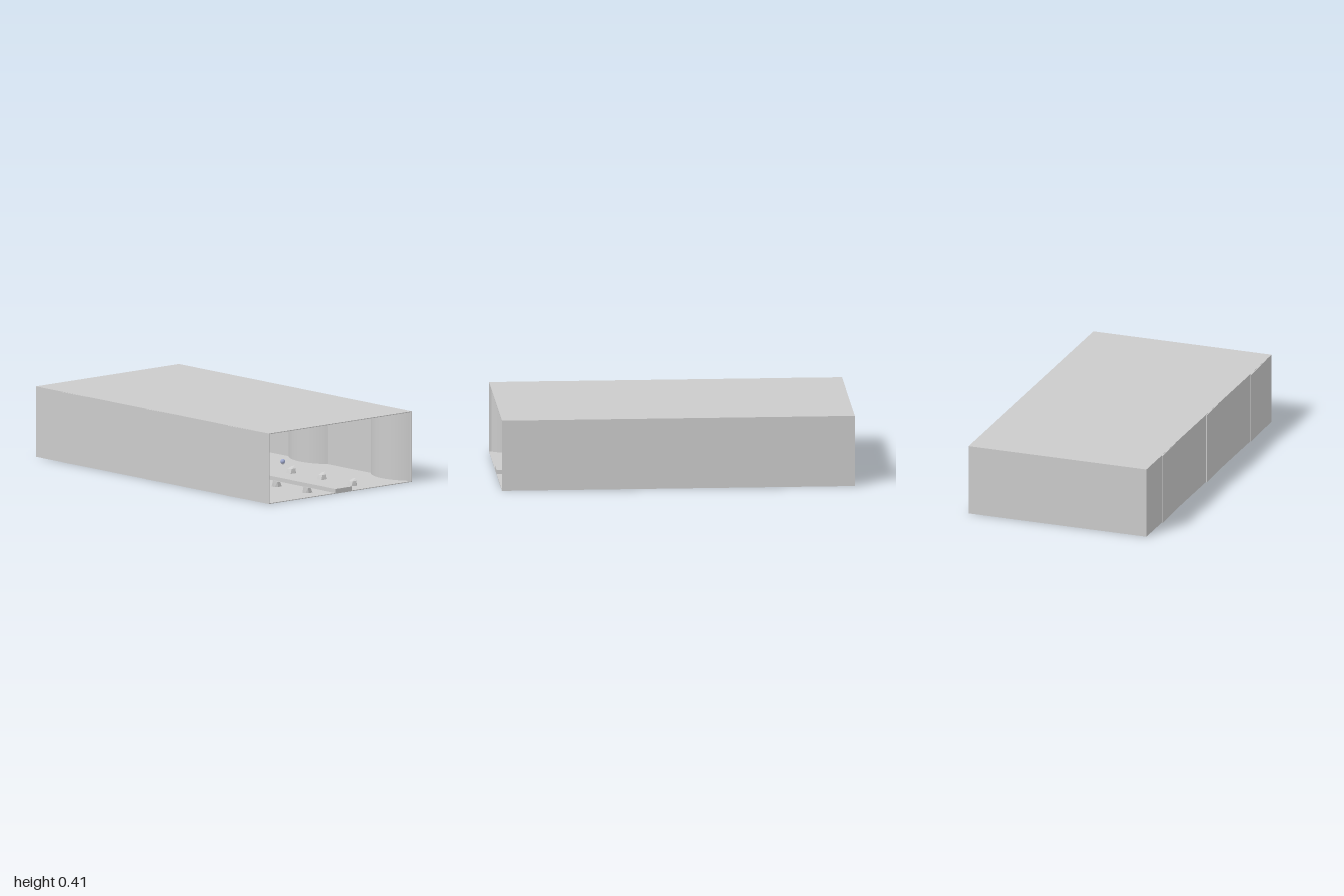
import * as THREE from 'three';
import { ConvexGeometry } from 'three/addons/geometries/ConvexGeometry.js';

const H = 0.405, T = 0.004, X0 = -0.537, X1 = 0.539;

export function createModel() {
  const group = new THREE.Group();
  const grey = new THREE.MeshStandardMaterial({ color: 0xcccccc });
  const flat = new THREE.MeshStandardMaterial({ color: 0xcccccc, flatShading: true });
  const blue = new THREE.MeshStandardMaterial({ color: 0xa0aad0 });

  const add = (name, geometry, material, x, y, z) => {
    const mesh = new THREE.Mesh(geometry, material);
    mesh.name = name;
    mesh.position.set(x, y, z);
    group.add(mesh);
    return mesh;
  };
  // Box given by its lowest and highest corners
  const box = (name, a, b) => add(name,
    new THREE.BoxGeometry(b[0] - a[0], b[1] - a[1], b[2] - a[2]), grey,
    (a[0] + b[0]) / 2, (a[1] + b[1]) / 2, (a[2] + b[2]) / 2);

  // Hall shell, open at the front
  box('floor', [X0, 0, -1], [X1, T, 1]);
  box('roof', [X0, H - T, -1], [X1, H, 1]);
  box('backWall', [X0, T, -1], [X1, H - T, -1 + T]);
  box('rightWall', [X0, T, -1 + T], [X0 + T, H - T, 1]);
  box('leftWall', [X1 - T, T, -1 + T], [X1, H - T, 1]);

  // Raised walkway along the floor
  box('walkway', [-0.038, T, -1 + T], [0.088, 0.027, 1]);

  // Pillars: circle segments standing against both side walls
  const radius = 0.255, half = Math.asin(0.17 / radius);
  const segment = new THREE.Shape();
  segment.absarc(-radius * Math.cos(half), 0, radius, -half, half, false);
  const pillar = new THREE.ExtrudeGeometry(segment, { depth: H - 0.002, bevelEnabled: false, curveSegments: 20 });
  pillar.rotateX(-Math.PI / 2);
  for (const z of [0.82, 0.114, -0.592]) {
    add('rightPillar', pillar, grey, -0.54, 0.001, z).rotation.y = 0.03;
    add('leftPillar', pillar, grey, 0.536, 0.001, z).rotation.y = Math.PI;
  }

  // Rocks in a row on each side of the walkway, tallest on the outer side
  const rock = (s) => new ConvexGeometry([
    [0.025, 0, 0.012], [0.025, 0, -0.015], [0.008, 0, 0.025], [-0.024, 0, 0.02],
    [-0.025, 0, -0.02], [0.005, 0, -0.025], [0.025, 0.043, 0.0], [0.012, 0.038, -0.014],
    [-0.012, 0.028, 0.016], [-0.015, 0.026, -0.014], [0.012, 0.03, 0.02],
  ].map(([x, y, z]) => new THREE.Vector3(s * x, y, z)));
  for (const side of [-1, 1]) {
    const geometry = rock(side);
    for (let i = 0; i < 8; i++) {
      add('rock', geometry, flat, side < 0 ? -0.146 : 0.195, 0.002, 0.88 - i * 0.262);
    }
  }

  // Small floating lamp over the walkway
  add('lampBulb', new THREE.SphereGeometry(0.014, 20, 14), blue, 0.025, 0.107, 0.476);
  add('lampBase', new THREE.CylinderGeometry(0.007, 0.005, 0.006, 12), grey, 0.025, 0.093, 0.476);

  return group;
}
